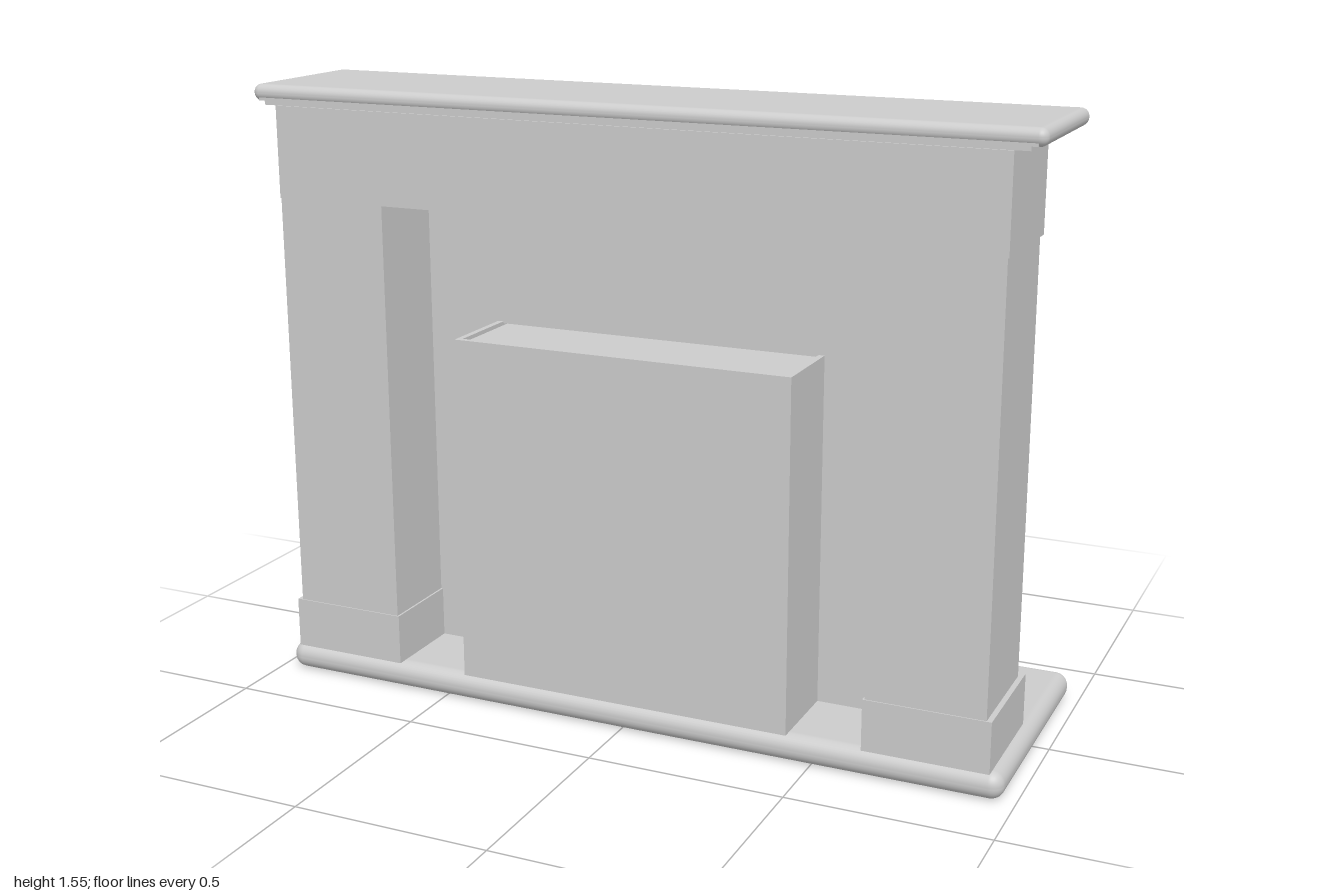
import * as THREE from 'three';
import { RoundedBoxGeometry } from 'three/addons/geometries/RoundedBoxGeometry.js';

export function createModel() {
  const model = new THREE.Group();
  model.name = 'fireplace';
  const stone = new THREE.MeshStandardMaterial({ color: 0xcccccc });
  stone.name = 'plain grey';

  const add = (name, geometry, parent = model) => {
    const mesh = new THREE.Mesh(geometry, stone);
    mesh.name = name;
    parent.add(mesh);
    return mesh;
  };
  // Box given by its min and max corners
  const box = (name, x0, x1, y0, y1, z0, z1, parent) => {
    const g = new THREE.BoxGeometry(x1 - x0, y1 - y0, z1 - z0);
    g.translate((x0 + x1) / 2, (y0 + y1) / 2, (z0 + z1) / 2);
    return add(name, g, parent);
  };
  const slab = (name, x, y0, y1, z0, z1, r) => {
    const g = new RoundedBoxGeometry(2 * x, y1 - y0, z1 - z0, 4, r);
    g.translate(0, (y0 + y1) / 2, (z0 + z1) / 2);
    return add(name, g);
  };
  const rectPoints = (x0, x1, y0, y1) => [
    new THREE.Vector2(x0, y0), new THREE.Vector2(x1, y0),
    new THREE.Vector2(x1, y1), new THREE.Vector2(x0, y1)];
  // Plate with a rectangular window; outer and inner are [x0, x1, y0, y1]
  const frame = (name, outer, inner, z0, z1, bevel) => {
    const shape = new THREE.Shape(rectPoints(...outer));
    shape.holes.push(new THREE.Path(rectPoints(...inner).reverse()));
    const g = new THREE.ExtrudeGeometry(shape, {
      depth: z1 - z0 - 2 * bevel, bevelEnabled: bevel > 0, bevelSize: bevel,
      bevelThickness: bevel, bevelOffset: -bevel, bevelSegments: 3,
    });
    g.translate(0, 0, z0 + bevel);
    return add(name, g);
  };

  // Hearth and mantel shelf
  slab('hearth', 0.97, 0, 0.07, -0.335, 0.335, 0.033);
  slab('mantelShelf', 1, 1.508, 1.55, -0.07, 0.33, 0.02);
  box('shelfMoulding', -0.965, 0.965, 1.5, 1.518, -0.01, 0.325);
  box('shelfMouldingUpper', -0.98, 0.98, 1.51, 1.525, -0.04, 0.327);

  // Frieze with a recessed panel
  box('frieze', -0.93, 0.93, 1.27, 1.5, 0.045, 0.33);
  frame('friezeFrame', [-0.93, 0.93, 1.27, 1.5], [-0.89, 0.89, 1.315, 1.46], 0.03, 0.046, 0);

  // Pillars with recessed panels, on plinths
  for (const s of [-1, 1]) {
    const span = (a, b) => (s > 0 ? [a, b] : [-b, -a]);
    box('pillar', ...span(0.635, 0.927), 0.2, 1.27, 0.06, 0.33);
    frame('pillarFrame', [...span(0.635, 0.927), 0.19, 1.28],
      [...span(0.71, 0.87), 0.23, 1.21], 0.04, 0.09, 0.012);
    box('plinth', ...span(0.63, 0.94), 0.07, 0.2, 0.03, 0.333);
    box('surroundJamb', ...span(0.44, 0.64), 0.07, 1.27, 0.075, 0.11);
    // Firebox side and opening trim
    box('fireboxSide', ...span(0.425, 0.44), 0.07, 0.955, 0.075, 0.33);
    box('openingTrimSide', ...span(0.43, 0.45), 0.07, 0.965, 0.06, 0.085);
  }
  box('surroundLintel', -0.44, 0.44, 0.95, 1.27, 0.075, 0.11);
  box('openingTrimTop', -0.43, 0.43, 0.945, 0.965, 0.06, 0.085);
  box('fireboxBack', -0.425, 0.425, 0.07, 0.955, 0.315, 0.33);
  box('fireboxTop', -0.425, 0.425, 0.925, 0.945, 0.076, 0.315);

  // Grate
  const grate = new THREE.Group();
  grate.name = 'grate';
  model.add(grate);
  for (const x of [-0.27, 0.27]) {
    box('grateLeg', x - 0.022, x + 0.022, 0.07, 0.15, 0.07, 0.23, grate);
  }
  box('grateLowerRail', -0.34, 0.34, 0.135, 0.15, 0.065, 0.085, grate);
  box('grateUpperRail', -0.34, 0.34, 0.165, 0.18, 0.065, 0.085, grate);
  box('grateBackRail', -0.34, 0.34, 0.135, 0.155, 0.215, 0.235, grate);
  for (let i = 0; i < 6; i++) {
    const x = -0.3 + i * 0.12;
    box('grateUpright', x - 0.011, x + 0.011, 0.135, 0.27, 0.06, 0.08, grate);
    box('grateBar', x - 0.011, x + 0.011, 0.135, 0.15, 0.08, 0.23, grate);
  }

  // Logs: [x, y, z, length, turn]
  const logs = [
    [0, 0.235, 0.125, 0.66, 0], [0.02, 0.225, 0.205, 0.58, 0.06], [-0.08, 0.29, 0.18, 0.46, -0.18],
  ];
  for (const [x, y, z, length, turn] of logs) {
    const g = new THREE.CylinderGeometry(0.045, 0.045, length, 6).toNonIndexed();
    g.computeVertexNormals();
    g.rotateZ(Math.PI / 2);
    g.rotateY(turn);
    g.translate(x, y, z);
    add('log', g);
  }

  // Flames: bent, flattened spindles [x, z, base, tip, width, bend]
  const flames = [
    [-0.02, 0.15, 0.2, 0.7, 0.075, -0.05], [0.15, 0.15, 0.2, 0.6, 0.065, 0.08],
    [-0.22, 0.15, 0.22, 0.5, 0.055, -0.08], [0.06, 0.09, 0.2, 0.5, 0.045, -0.04],
    [-0.12, 0.09, 0.2, 0.46, 0.05, 0.04], [0.24, 0.2, 0.22, 0.44, 0.04, 0.03],
  ];
  const outline = [[0.35, 0], [0.85, 0.15], [1, 0.35], [0.7, 0.6], [0.35, 0.82], [0.001, 1]];
  for (const [x, z, base, tip, width, bend] of flames) {
    const points = outline.map(([r, t]) => new THREE.Vector2(r * width, t));
    const g = new THREE.LatheGeometry(points, 6).toNonIndexed();
    const p = g.attributes.position;
    for (let i = 0; i < p.count; i++) {
      const t = p.getY(i);
      p.setXYZ(i, x + p.getX(i) + bend * t * t, base + (tip - base) * t, z + p.getZ(i) * 0.65);
    }
    g.computeVertexNormals();
    add('flame', g);
  }
  return model;
}
